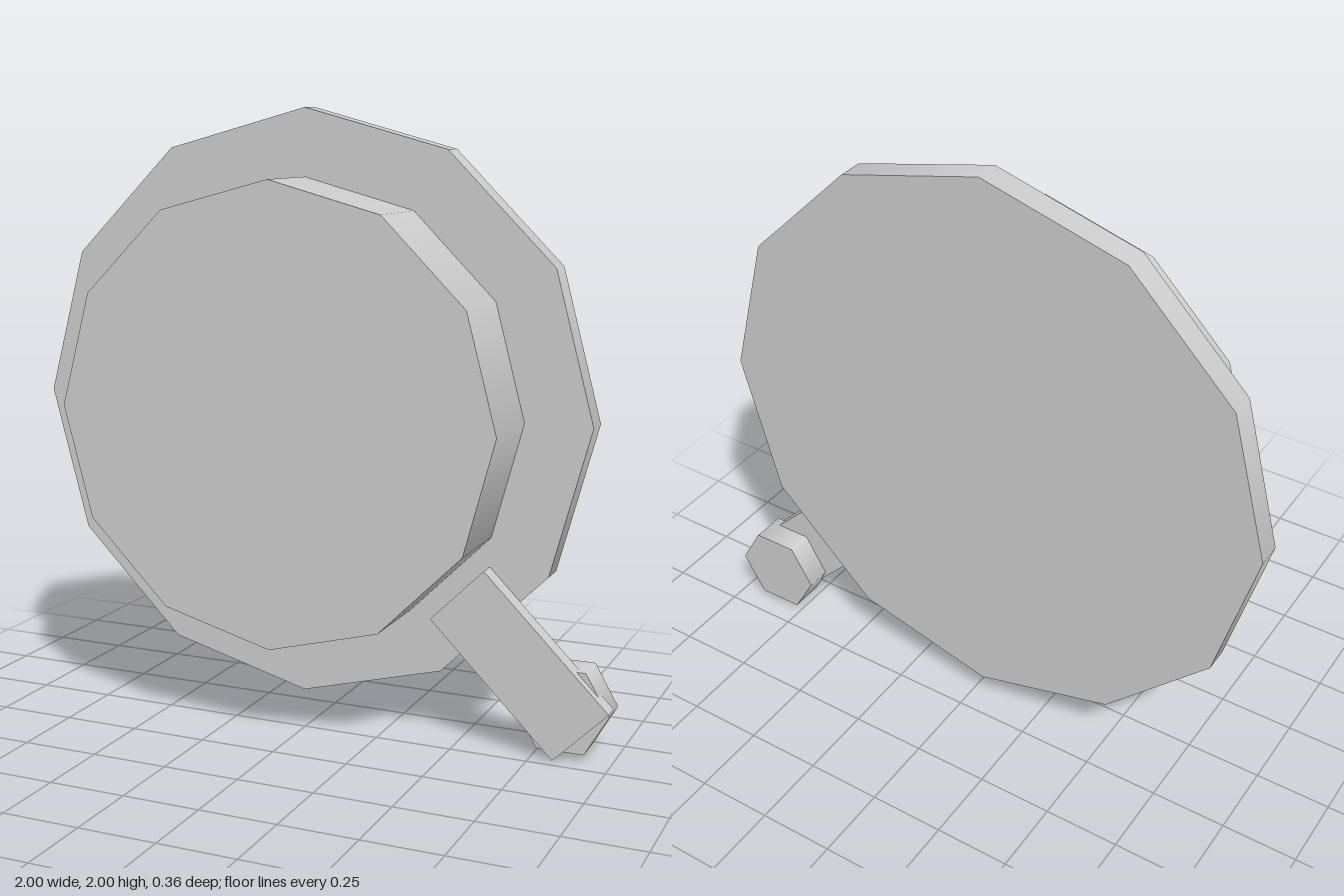
import * as THREE from 'three';

export function createModel() {
  const model = new THREE.Group();
  const grey = new THREE.MeshStandardMaterial({ name: 'lightGrey', color: 0xcccccc });

  function add(name, geometry, x, y, z) {
    const mesh = new THREE.Mesh(geometry, grey);
    mesh.name = name;
    mesh.position.set(x, y, z);
    model.add(mesh);
    return mesh;
  }

  // Low-sided disc with its axis along z and a vertex on the x axis
  function disc(name, radius, sides, x, y, back, front) {
    const geometry = new THREE.CylinderGeometry(radius, radius, front - back, sides, 1, false, Math.PI / 2);
    geometry.rotateX(Math.PI / 2);
    return add(name, geometry, x, y, (back + front) / 2);
  }

  // Wide back plate and the thick drum in front of it
  disc('backPlate', 0.953, 12, -0.046, 1.049, -0.18, -0.096);
  disc('frontDrum', 0.737, 12, -0.046, 1.049, -0.096, 0.18);

  // Diagonal arm at the lower left side, with a hexagonal knob at its end
  const arm = add('arm', new THREE.BoxGeometry(0.575, 0.246, 0.06), 0.706, 0.296, -0.065);
  arm.rotation.z = -Math.PI / 4;
  disc('knob', 0.152, 6, 0.838, 0.16, -0.18, -0.065);

  return model;
}
